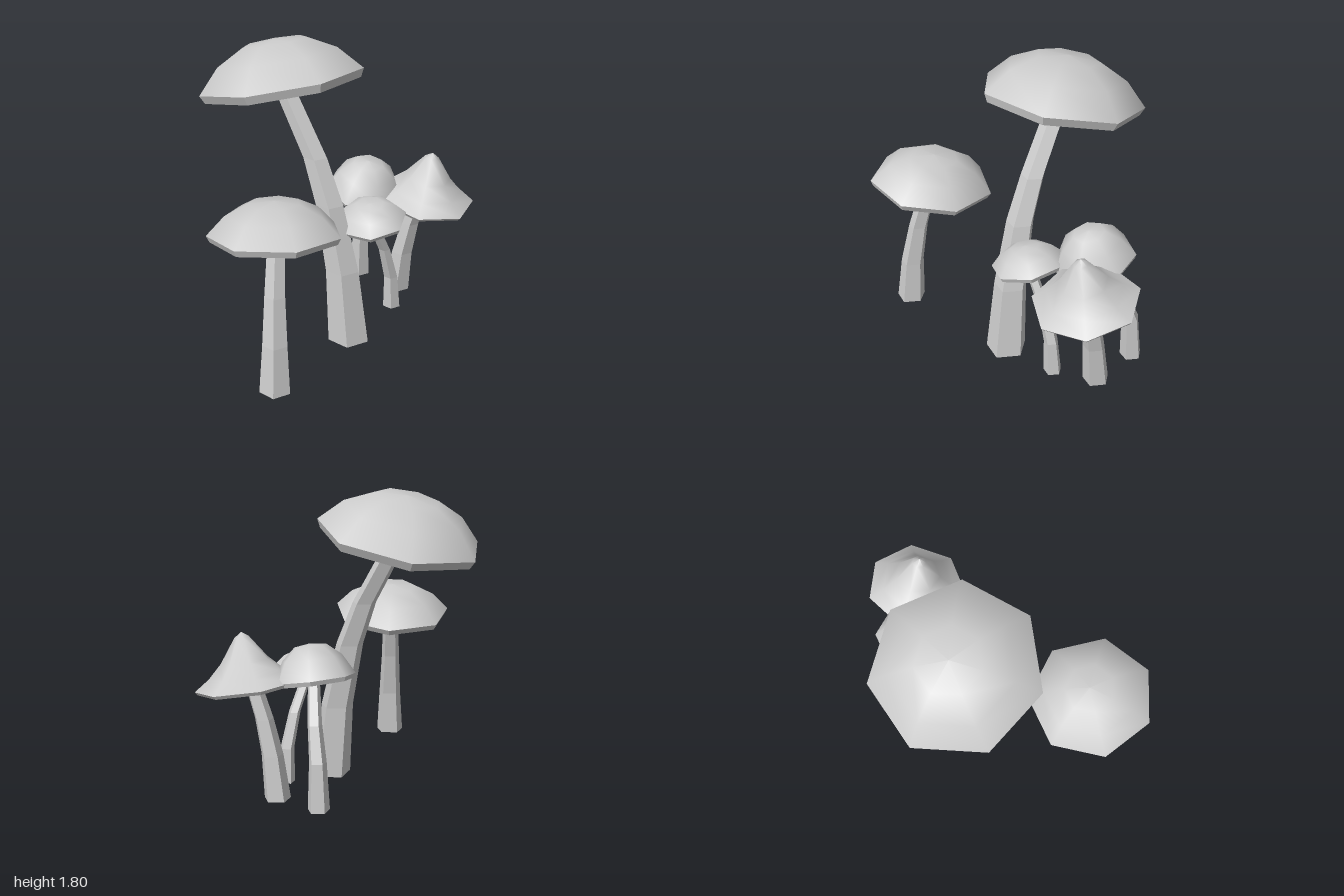
import * as THREE from 'three';

const V = (a) => new THREE.Vector3(...a);

// Dome profiles, rim to apex: [radius, height] as fractions of cap radius and cap height
const ROUND = [[1, 0], [0.73, 0.58], [0.39, 0.93], [0, 1]];
const POINTED = [[1, 0], [0.71, 0.2], [0.45, 0.46], [0.14, 0.9], [0, 1]];

// stem rows: [x, y, z, radius] from the ground up
const MUSHROOMS = [
  {
    name: 'tallMushroom', profile: ROUND, centre: [-0.03, 1.54, -0.19], up: [0, 1, -0.23],
    radius: 0.49, height: 0.24, band: 0.05, phase: 6.5,
    stem: [[0.01, 0, 0.315, 0.125], [0.005, 0.45, 0.265, 0.102], [-0.005, 0.85, 0.17, 0.085],
      [-0.01, 1.12, 0.06, 0.073], [-0.03, 1.52, -0.175, 0.065]],
  },
  {
    name: 'rightMushroom', profile: ROUND, centre: [-0.63, 0.927, 0.325], up: [0.093, 1, -0.11],
    radius: 0.373, height: 0.18, band: 0.036, phase: 16.5,
    stem: [[-0.765, 0.05, 0.44, 0.09], [-0.745, 0.33, 0.425, 0.073], [-0.705, 0.6, 0.39, 0.06],
      [-0.63, 0.92, 0.335, 0.05]],
  },
  {
    name: 'smallMushroom', profile: ROUND, centre: [0.205, 0.725, 0.31], up: [-0.2, 1, 0.05],
    radius: 0.217, height: 0.11, band: 0.025, phase: -13,
    stem: [[0.42, 0.06, 0.32, 0.054], [0.405, 0.27, 0.32, 0.043], [0.34, 0.48, 0.315, 0.036],
      [0.21, 0.715, 0.31, 0.032]],
  },
  {
    name: 'backMushroom', profile: ROUND, centre: [0.475, 0.765, 0.04], up: [-0.08, 1, 0.22],
    radius: 0.242, height: 0.2, band: 0.025, phase: 15,
    stem: [[0.64, 0.06, -0.125, 0.066], [0.632, 0.34, -0.115, 0.052], [0.59, 0.54, -0.06, 0.043],
      [0.49, 0.76, 0.03, 0.036]],
  },
  {
    name: 'pointedMushroom', profile: POINTED, centre: [0.695, 0.725, 0.34], up: [0, 1, 0.17],
    radius: 0.31, height: 0.305, band: 0.02, phase: -5.5,
    stem: [[0.645, 0.055, 0.185, 0.08], [0.65, 0.32, 0.215, 0.066], [0.663, 0.53, 0.26, 0.056],
      [0.68, 0.72, 0.32, 0.05]],
  },
];

// Split every face so it shades flat
function faceted(geometry) {
  const flat = geometry.toNonIndexed();
  flat.computeVertexNormals();
  return flat;
}

// Five-sided stem: each ring of a cylinder is moved and scaled to its row
function stemGeometry(rows) {
  const last = rows.length - 1;
  const geometry = new THREE.CylinderGeometry(1, 1, 1, 5, last, false, Math.PI / 2);
  const p = geometry.attributes.position;
  for (let i = 0; i < p.count; i++) {
    const [x, y, z, r] = rows[Math.round((p.getY(i) + 0.5) * last)];
    p.setXYZ(i, x + p.getX(i) * r, y, z + p.getZ(i) * r);
  }
  return faceted(geometry);
}

// Seven-sided lathe with its first corner at the given angle
function lathe(points, phase) {
  const start = Math.PI / 2 - THREE.MathUtils.degToRad(phase);
  return new THREE.LatheGeometry(points.map(([r, h]) => new THREE.Vector2(r, h)), 7, start);
}

export function createModel() {
  const model = new THREE.Group();
  model.name = 'mushroomCluster';
  const material = new THREE.MeshStandardMaterial({ color: 0xcccccc });
  material.name = 'paleGrey';

  for (const m of MUSHROOMS) {
    const mushroom = new THREE.Group();
    mushroom.name = m.name;
    const add = (parent, name, geometry) => {
      const mesh = new THREE.Mesh(geometry, material);
      mesh.name = name;
      parent.add(mesh);
    };
    add(mushroom, 'stem', stemGeometry(m.stem));

    // Tilted cap: smooth dome over a sharp rim and flat underside with a small collar
    const cap = new THREE.Group();
    cap.name = 'cap';
    cap.position.set(...m.centre);
    cap.quaternion.setFromUnitVectors(new THREE.Vector3(0, 1, 0), V(m.up).normalize());
    add(cap, 'dome', lathe(m.profile.map(([r, h]) => [r * m.radius, h * m.height]), m.phase));
    const neck = m.stem[m.stem.length - 1][3];
    add(cap, 'rimAndUnderside', faceted(lathe([
      [0, -m.band - 0.015], [neck * 1.1, -m.band - 0.015], [neck * 1.35, -m.band],
      [m.radius * 0.95, -m.band], [m.radius, 0],
    ], m.phase)));
    mushroom.add(cap);
    model.add(mushroom);
  }
  return model;
}
